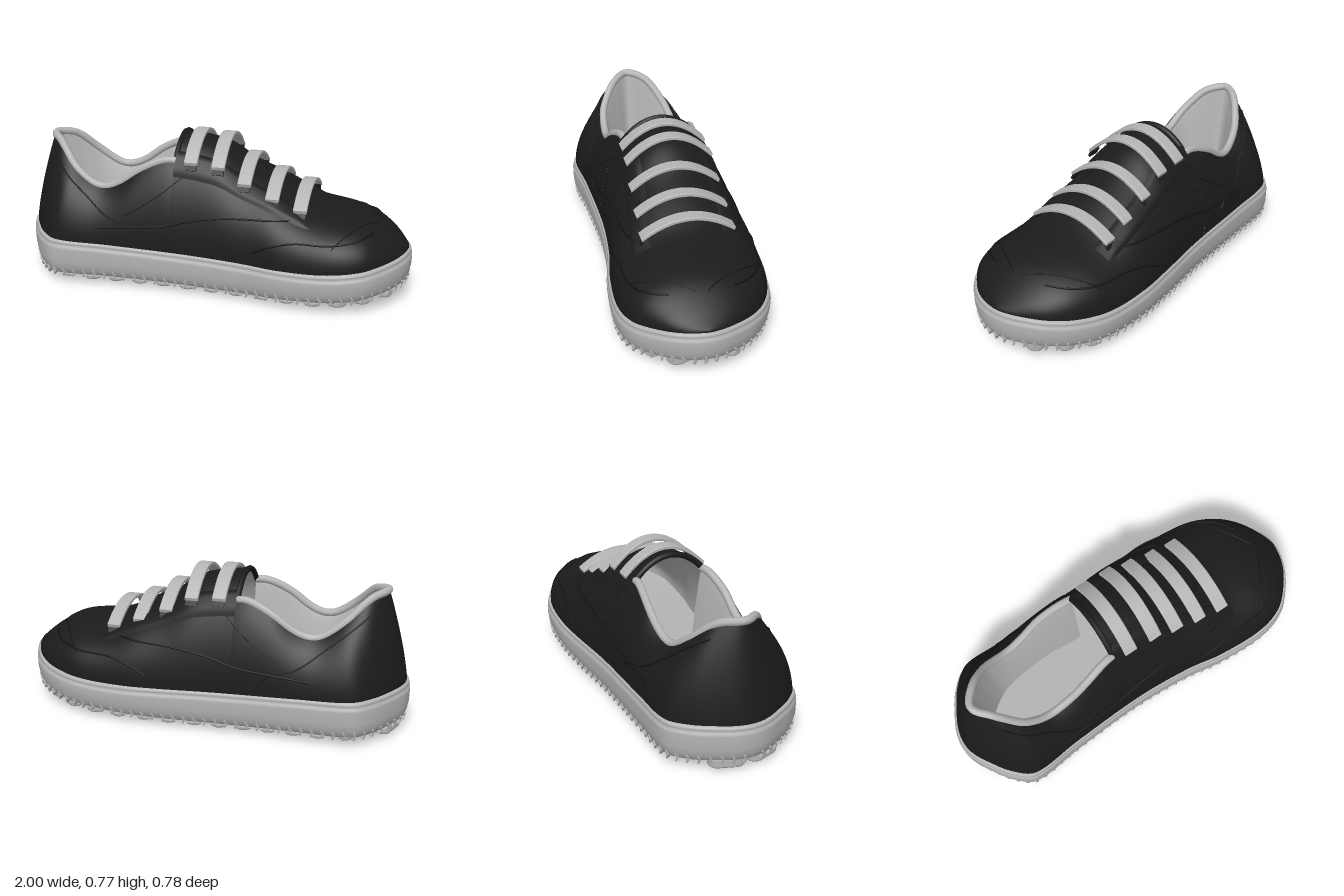
import * as THREE from 'three';
import { mergeGeometries } from 'three/addons/utils/BufferGeometryUtils.js';

const mat = (name, color) => new THREE.MeshStandardMaterial({ name, color, side: THREE.DoubleSide });

// Smooth interpolation through [x, y] pairs
function spline(pts) {
  const n = pts.length - 1;
  const slope = i => {
    const a = pts[Math.max(0, i - 1)], b = pts[Math.min(n, i + 1)];
    return (b[1] - a[1]) / (b[0] - a[0]);
  };
  return x => {
    let i = 0;
    while (i < n - 1 && x > pts[i + 1][0]) i++;
    const [x0, y0] = pts[i], [x1, y1] = pts[i + 1], h = x1 - x0;
    const s = Math.min(1, Math.max(0, (x - x0) / h)), s2 = s * s, s3 = s2 * s;
    return y0 * (2 * s3 - 3 * s2 + 1) + y1 * (3 * s2 - 2 * s3) + h * (slope(i) * (s3 - 2 * s2 + s) + slope(i + 1) * (s3 - s2));
  };
}

// Grid surface from f(u, v), both 0..1
function grid(nu, nv, f) {
  const pos = [], idx = [];
  for (let i = 0; i <= nu; i++) for (let j = 0; j <= nv; j++) pos.push(...f(i / nu, j / nv));
  for (let i = 0; i < nu; i++) for (let j = 0; j < nv; j++) {
    const a = i * (nv + 1) + j, b = a + nv + 1;
    idx.push(a, b, a + 1, b, b + 1, a + 1);
  }
  const g = new THREE.BufferGeometry();
  g.setAttribute('position', new THREE.Float32BufferAttribute(pos, 3));
  g.setIndex(idx);
  g.computeVertexNormals();
  return g;
}

// Plan outline: x, left edge z, right edge z
const plan = [[-1, 0, 0], [-.95, .15, -.16], [-.88, .26, -.27], [-.78, .342, -.352], [-.5, .325, -.36], [-.1, .312, -.362],
  [.2, .335, -.385], [.4, .372, -.396], [.65, .385, -.375], [.8, .345, -.31], [.9, .255, -.22], [.97, .15, -.1], [1, .02, .02]];
const angle = x => Math.acos(-Math.min(1, Math.max(-1, x)));
const halfWidth = spline(plan.map(([x, l, r]) => [angle(x), (l - r) / 2]));
const centreZ = spline(plan.map(([x, l, r]) => [angle(x), (l + r) / 2]));
const soleTop = spline([[-1, .245], [-.5, .225], [0, .207], [.5, .202], [.8, .225], [1, .255]]);
const soleBottom = spline([[-1, .06], [-.85, .052], [-.4, .045], [0, .037], [.3, .042], [.6, .058], [.8, .075], [1, .095]]);
const rimY = spline([[-.87, .71], [-.8, .685], [-.7, .585], [-.6, .512], [-.53, .5], [-.45, .53], [-.35, .6], [-.25, .648], [-.17, .662]]);
const ridgeY = spline([[-.17, .755], [-.05, .738], [.06, .708], [.18, .63], [.32, .56], [.5, .468], [.7, .43], [.8, .4], [.9, .337], [1, .25]]);
const fullness = spline([[-1, 1], [0, 1], [.5, .82], [1, .75]]);
const rimRatio = spline([[0, .45], [.35, .5], [.8, .64], [1, .57]]);
const collarX = -.17, collarT = angle(collarX / .983);
const rimAngle = t => Math.acos(rimRatio(Math.abs(t) / collarT));

// Section data of the upper at station t (heel 0, toe PI)
function section(t) {
  const bx = -Math.cos(t) * .983, by = soleTop(bx) - .01;
  if (bx < collarX - 1e-6) {
    const rx = -.87 + (bx + .983) / (collarX + .983) * .7, s = Math.sin(rimAngle(t));
    return { bx, by, rx, s, h: (rimY(rx) - by) / s, p: 1 };
  }
  return { bx, by, rx: bx, s: 1, h: Math.max(.004, ridgeY(bx) - by), p: fullness(bx) };
}

// Point on the upper: th runs 0 (left) to PI (right), out is the offset
function upperPoint(t, th, out = 0) {
  if (t < 0) { t = -t; th = Math.PI - th; }
  const q = section(t), sn = Math.max(0, Math.sin(th));
  const w = Math.max(0, halfWidth(t) * .957 + out);
  const x = q.bx + (q.rx - q.bx) * Math.pow(Math.min(1, sn / q.s), 1.3);
  return [x - out * Math.cos(t) * (1 - sn), q.by + Math.max(.001, q.h + out) * Math.pow(sn, q.p), centreZ(t) + w * Math.cos(th)];
}

// Point and outward normal on the sole outline, t 0..2PI
function outline(t) {
  const at = a => {
    a = (a + 4 * Math.PI) % (2 * Math.PI);
    const k = a <= Math.PI ? a : 2 * Math.PI - a;
    return new THREE.Vector2(-Math.cos(k), centreZ(k) + (a <= Math.PI ? 1 : -1) * halfWidth(k));
  };
  const p = at(t), d = at(t + .03).sub(at(t - .03)).normalize(), n = new THREE.Vector2(-d.y, d.x);
  return { p, n: n.dot(p) < 0 ? n.negate() : n };
}

export function createModel() {
  const black = mat('black canvas', 0x1b1b1b), grey = mat('light grey rubber', 0xb4b4b4), seamMat = mat('dark stitching', 0x121212);
  const shoe = new THREE.Group();
  shoe.name = 'shoe';
  const add = (name, geo, m) => {
    const mesh = new THREE.Mesh(geo, m);
    mesh.name = name;
    shoe.add(mesh);
    return mesh;
  };
  const tube = (pts, r, n = 60) => new THREE.TubeGeometry(new THREE.CatmullRomCurve3(pts.map(p => new THREE.Vector3(...p))), n, r, 8);

  // Sole wall with a rounded foot and beaded top edge: inset, from top?, height
  const rows = [[.07, 0, 0], [.032, 0, 0], [.018, 0, .012], [.008, 0, .04], [.001, 0, .075], [0, 1, -.045], [.002, 1, -.03],
    [.012, 1, -.024], [.005, 1, -.016], [.008, 1, -.004], [.018, 1, .002], [.05, 1, 0]];
  add('sole', grid(180, rows.length - 1, (u, v) => {
    const [inset, top, dy] = rows[Math.round(v * (rows.length - 1))], { p, n } = outline(u * 2 * Math.PI);
    return [p.x - n.x * inset, (top ? soleTop : soleBottom)(p.x) + dy, p.y - n.y * inset];
  }), grey);
  const plate = (name, yOf, k) => add(name, grid(60, 8, (u, v) => {
    const t = u * Math.PI, x = -Math.cos(t) * k;
    return [x, yOf(x), centreZ(t) + halfWidth(t) * k * (2 * v - 1)];
  }), grey);
  plate('soleUnderside', soleBottom, .95);
  plate('insole', x => soleTop(x) + .01, .92);

  // Small chevron ridges round the lower edge
  const ridges = [];
  for (let d = 0, last = outline(0).p, i = 1; i <= 2000; i++) {
    const { p, n } = outline(i / 2000 * 2 * Math.PI);
    d += p.distanceTo(last);
    last = p;
    if (d < .052) continue;
    d = 0;
    for (const k of [-1, 1]) {
      const g = new THREE.BoxGeometry(.008, .024, .02);
      g.rotateZ(k * .4);
      g.translate(0, k * .01, 0);
      g.rotateX(.2);
      g.rotateY(Math.atan2(n.x, n.y));
      g.translate(p.x - n.x * .018, soleBottom(p.x) + .013, p.y - n.y * .018);
      ridges.push(g);
    }
  }
  add('edgeRidges', mergeGeometries(ridges), grey);

  // Two columns of slanted rounded tread bars
  const bars = [];
  for (let i = 0; i < 15; i++) for (const s of [-1, 1]) {
    const x = -.93 + i * .1265, r = .036;
    const len = Math.max(.15, Math.min(halfWidth(angle(x)), halfWidth(angle(x + .1))) - .075);
    const pill = new THREE.Shape();
    const e = Math.max(.005, len * .52 - r);
    pill.absarc(0, e, r, 0, Math.PI);
    pill.absarc(0, -e, r, Math.PI, 2 * Math.PI);
    const g = new THREE.ExtrudeGeometry(pill, { depth: .03, bevelThickness: .012, bevelSize: .01, bevelSegments: 3, curveSegments: 6 });
    g.rotateX(Math.PI / 2);
    g.rotateY(s * .32);
    const cx = x + len * .165;
    g.translate(cx, soleBottom(cx) + .006, centreZ(angle(x)) + s * (.015 + len / 2));
    bars.push(g);
  }
  add('treadBars', mergeGeometries(bars), grey);

  // Upper: heel quarters round the opening, then the vamp with its lining
  add('upperHeel', grid(96, 20, (u, v) => {
    const t = (2 * u - 1) * collarT;
    return upperPoint(t, v * rimAngle(t));
  }), black);
  for (const [name, out, m] of [['upperVamp', 0, black], ['liningVamp', -.018, grey]]) {
    add(name, grid(70, 48, (u, v) => upperPoint(collarT + u * (Math.PI - collarT), v * Math.PI, out)), m);
  }
  // Padded lining sloping from the collar in to the footbed
  add('liningHeel', grid(96, 12, (u, v) => {
    const t = (2 * u - 1) * collarT, [x, y, z] = upperPoint(t, rimAngle(t), -.012);
    const k = 1 - .3 * Math.pow(1 - v, .8), zc = centreZ(Math.abs(t)), floor = soleTop(x) + .008;
    return [x + (1 - v) * .07 * Math.max(0, (-.3 - x) / .57), floor + (y - floor) * v, zc + (z - zc) * k];
  }), grey);

  // Collar piping and the tongue's back edge
  const rim = [], lip = [], lipStart = rimAngle(collarT);
  for (let i = 0; i <= 60; i++) {
    const t = (i / 30 - 1) * collarT;
    rim.push(upperPoint(t, rimAngle(t), -.008));
    lip.push(upperPoint(collarT, lipStart + (Math.PI - 2 * lipStart) * i / 60, -.006));
  }
  add('collarPiping', tube(rim, .02, 120), grey);
  add('tongueEdge', tube(lip, .015), black);

  // Slightly raised eyelet panels beside the laces
  for (const s of [0, 1]) add(s ? 'rightEyeletPanel' : 'leftEyeletPanel', grid(40, 10, (u, v) => {
    const t = angle((-.175 + u * .7) / .983), th = .76 + v * .33;
    const edge = Math.min(1, 5 * Math.min(v, 1 - v), 12 * (1 - u));
    return upperPoint(Math.max(t, collarT), s ? Math.PI - th : th, .009 * edge + .001);
  }), black);

  // Laces: flat arched bands with dark ends
  [[-.085, .77, .655], [.055, .762, .645], [.188, .668, .572], [.328, .597, .508], [.467, .547, .465]].forEach(([x, top, end], i) => {
    const pts = [], n = 20, half = .215 + i * .003;
    for (let j = 0; j <= n; j++) {
      const a = 2 * j / n - 1;
      pts.push(new THREE.Vector2(a * half, end + (top - end) * (1 - a * a)));
    }
    const band = new THREE.Shape([...pts, ...pts.map(p => new THREE.Vector2(p.x * .985, p.y - .012)).reverse()]);
    const g = new THREE.ExtrudeGeometry(band, { depth: .06, bevelThickness: .004, bevelSize: .003, bevelSegments: 1 });
    g.rotateY(Math.PI / 2);
    const zc = -.021 + i * .003;
    g.translate(x - .03, 0, zc);
    add('lace' + (i + 1), g, grey);
    for (const s of [-1, 1]) {
      const eyelet = add('laceEnd', new THREE.BoxGeometry(.058, .04, .012), black);
      eyelet.position.set(x, end - .022, zc + s * half * .98);
      eyelet.rotation.x = -s * .5;
    }
  });

  // Stitched seams following the upper, mirrored to both sides
  const seam = (name, r, at) => {
    for (const s of [0, 1]) {
      const pts = [];
      for (let j = 0; j <= 30; j++) {
        const [x, th] = at(j / 30);
        pts.push(upperPoint(angle(x / .983), s ? Math.PI - th : th));
      }
      add((s ? 'right' : 'left') + name, tube(pts, r), seamMat);
    }
  };
  const sideSeams = [
    ['HeelSeam', .004, [[-.9, .62], [-.78, .53], [-.63, .43], [-.5, .36], [-.38, .33], [-.33, .295]]],
    ['QuarterSeam', .005, [[-.58, .31], [-.4, .325], [-.2, .345], [-.05, .385], [.1, .41], [.3, .42], [.46, .425]]],
    ['FrontSeam', .005, [[.26, .265], [.32, .3], [.45, .335], [.6, .338], [.72, .35], [.82, .37]]],
    ['CollarSeam', .002, [[-.42, .38], [-.3, .45], [-.2, .52], [-.1, .6]]],
  ];
  for (const [name, r, line] of sideSeams) {
    const f = spline(line), x0 = line[0][0], x1 = line[line.length - 1][0];
    seam(name, r, u => {
      const x = x0 + (x1 - x0) * u, q = section(angle(x / .983));
      return [x, Math.asin(Math.min(.98, Math.pow(Math.max(.02, (f(x) - q.by) / q.h), 1 / q.p)))];
    });
  }
  seam('ToeCapSeam', .003, u => [.64 + .2 * u, .45 + 1.03 * u]);
  return shoe;
}
